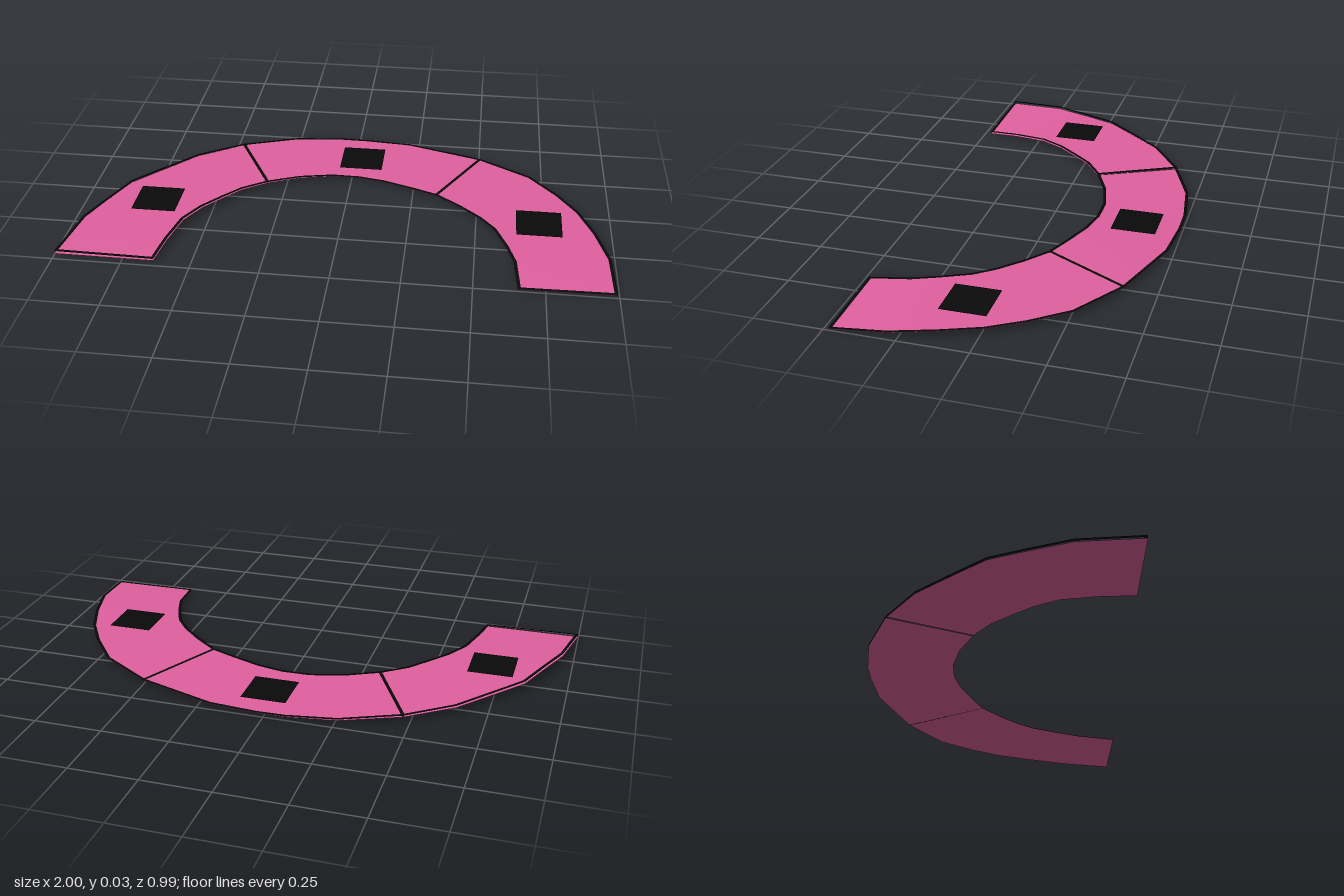
import * as THREE from 'three';

const PINK = 0xe0609f, BLACK = 0x0a0a0a;

// Rim points [x, z], left to right; every panel spans six steps
const OUTER = [[-1, .475], [-.96, .25], [-.9, .1], [-.85, -.025], [-.77, -.12], [-.64, -.27], [-.475, -.385],
  [-.26, -.47], [-.075, -.495], [.03, -.495], [.21, -.48], [.35, -.435], [.505, -.385],
  [.705, -.26], [.81, -.13], [.885, -.01], [.94, .13], [.985, .29], [.995, .485]];
const INNER = [[-.635, .475], [-.615, .35], [-.585, .22], [-.535, .13], [-.47, .05], [-.41, -.02], [-.32, -.085],
  [-.2, -.14], [-.075, -.17], [.03, -.17], [.13, -.15], [.24, -.11], [.34, -.07],
  [.43, 0], [.51, .075], [.565, .145], [.61, .25], [.64, .34], [.655, .49]];

// Gentle sag of the sheet towards its ends
const height = (x, z) =>
  .018 - (z > .1 ? .118 : .023) * (z - .1) ** 2 + .004 * Math.max(0, -x);
// Outline floats a little over the sheet, more so on the -x side
const lineHeight = (x, z) => height(x, z) + .002 + .009 * Math.max(0, -x);

const lerp = (p, q, t) => [p[0] + (q[0] - p[0]) * t, p[1] + (q[1] - p[1]) * t];

// Surface between two polylines of equal length, facing up
function strip(name, a, b, color, y) {
  const pos = [], index = [];
  a.forEach((p, i) => {
    for (const [x, z] of [p, b[i]]) pos.push(x, y(x, z), z);
    if (i) {
      const k = 2 * i - 2;
      index.push(k, k + 1, k + 2, k + 1, k + 3, k + 2);
    }
  });
  const geo = new THREE.BufferGeometry();
  geo.setAttribute('position', new THREE.Float32BufferAttribute(pos, 3));
  geo.setIndex(index);
  geo.computeVertexNormals();
  const mesh = new THREE.Mesh(geo,
    new THREE.MeshStandardMaterial({ color, side: THREE.DoubleSide }));
  mesh.name = name;
  return mesh;
}

// Mitred inset of a closed loop
function inset(loop, d) {
  const n = loop.length;
  const normal = (p, q) => new THREE.Vector2(p[1] - q[1], q[0] - p[0]).normalize();
  return loop.map((p, i) => {
    const n1 = normal(loop[(i + n - 1) % n], p), n2 = normal(p, loop[(i + 1) % n]);
    const m = n1.clone().add(n2).normalize();
    m.multiplyScalar(d / m.dot(n1));
    return [p[0] + m.x, p[1] + m.y];
  });
}

export function createModel() {
  const group = new THREE.Group();
  group.name = 'archedPanels';

  // Three curved panels, with a hairline gap at the joints
  ['leftPanel', 'centrePanel', 'rightPanel'].forEach((name, k) => {
    const side = (rim) => {
      const pts = rim.slice(k * 6, k * 6 + 7);
      if (k > 0) pts[0] = lerp(pts[0], pts[1], .012);
      if (k < 2) pts[6] = lerp(pts[6], pts[5], .012);
      return pts;
    };
    // x runs towards the model's left, so the -x panel is its right one
    group.add(strip(['rightPanel', 'centrePanel', 'leftPanel'][k], side(OUTER), side(INNER), PINK, height));
  });

  // Black border around the whole arch
  const loop = [...OUTER, ...[...INNER].reverse()];
  const inner = inset(loop, .011);
  group.add(strip('border', [...loop, loop[0]], [...inner, inner[0]], BLACK, lineHeight));

  // Divider lines at the two joints
  for (const i of [6, 12]) {
    const o = OUTER[i], n = INNER[i];
    const dir = new THREE.Vector2(n[0] - o[0], n[1] - o[1]).normalize().multiplyScalar(.006);
    const shift = (s) => [o, n].map(([x, z]) => [x - s * dir.y, z + s * dir.x]);
    group.add(strip('divider', shift(1), shift(-1), BLACK, lineHeight));
  }

  // Black square marker on each panel
  for (const [x, z] of [[-.715, .09], [.03, -.327], [.733, .09]]) {
    const marker = new THREE.Mesh(new THREE.PlaneGeometry(.168, .168).rotateX(-Math.PI / 2),
      new THREE.MeshStandardMaterial({ color: BLACK, side: THREE.DoubleSide }));
    marker.name = 'marker';
    marker.position.set(x, height(x, z) + .004, z);
    group.add(marker);
  }
  return group;
}
